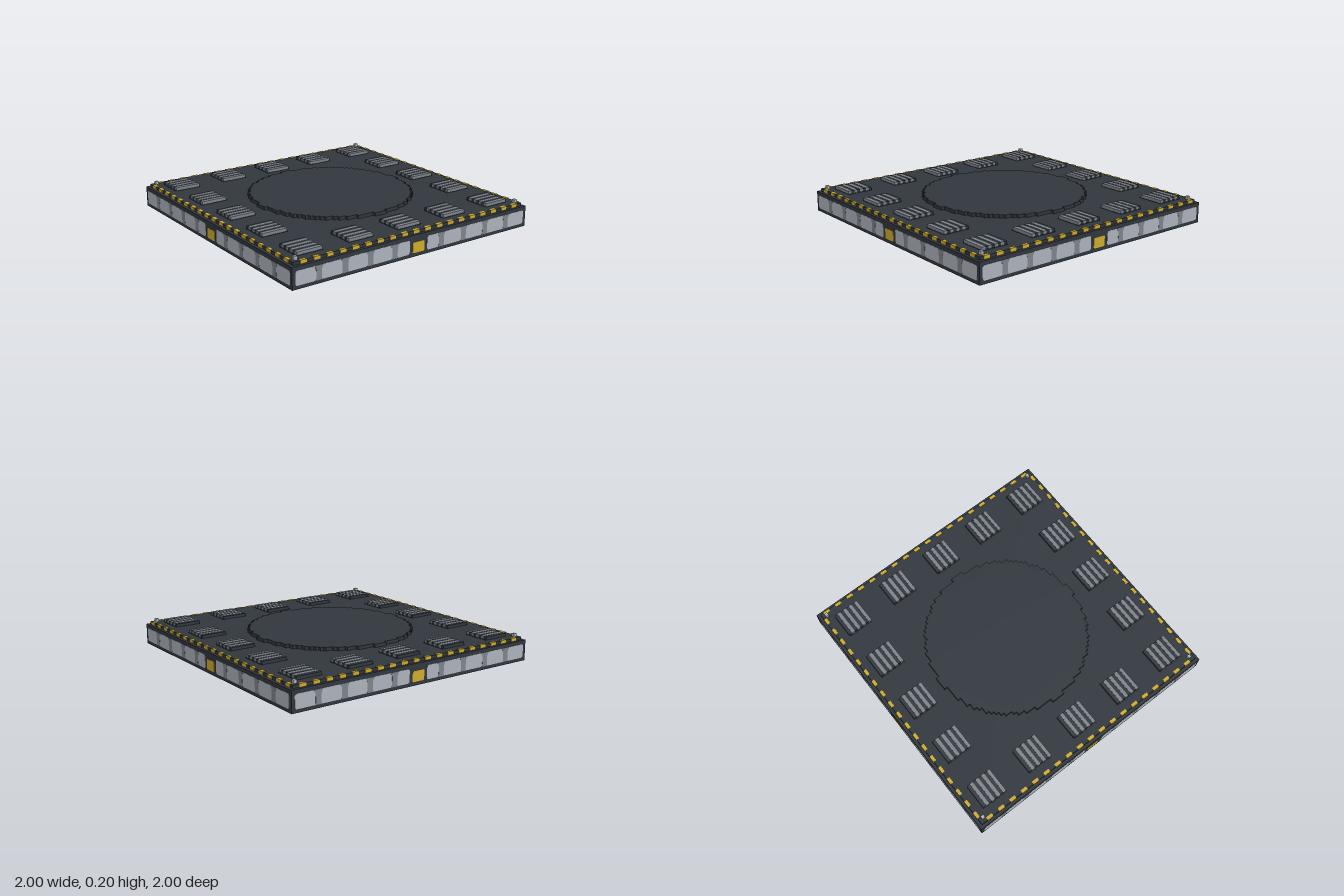
import * as THREE from 'three';

const mat = (name, color) => {
  const m = new THREE.MeshStandardMaterial({ color });
  m.name = name;
  return m;
};

export function createModel() {
  const dark = mat('dark hull', 0x32383f);
  const panelGrey = mat('light panel', 0xb0b6bf);
  const midGrey = mat('mid grey', 0x80858d);
  const yellow = mat('marking yellow', 0xd2ae2c);
  const under = mat('underside grey', 0x9e9ea2);

  const model = new THREE.Group();
  model.name = 'landingPad';

  // Box given by its extents
  const box = (parent, name, m, x0, x1, y0, y1, z0, z1) => {
    const mesh = new THREE.Mesh(new THREE.BoxGeometry(x1 - x0, y1 - y0, z1 - z0), m);
    mesh.position.set((x0 + x1) / 2, (y0 + y1) / 2, (z0 + z1) / 2);
    mesh.name = name;
    parent.add(mesh);
  };

  // Base, underside plate and raised deck
  box(model, 'base', dark, -0.998, 0.998, 0.004, 0.155, -0.998, 0.998);
  box(model, 'undersidePlate', under, -0.985, 0.985, 0, 0.006, -0.985, 0.985);
  box(model, 'deck', dark, -0.975, 0.975, 0.15, 0.176, -0.975, 0.975);

  // Thin outlined plate whose face stands at the given z
  const plate = (parent, name, m, points, z) => {
    const s = new THREE.Shape(points.map(p => new THREE.Vector2(...p)));
    const mesh = new THREE.Mesh(new THREE.ExtrudeGeometry(s, { depth: 0.004, bevelEnabled: false }), m);
    mesh.position.z = z - 0.004;
    mesh.name = name;
    parent.add(mesh);
  };
  // Rectangle with clipped corners
  const clipped = (x0, x1, y0, y1, c) => [
    [x0 + c, y0], [x1 - c, y0], [x1, y0 + c], [x1, y1 - c],
    [x1 - c, y1], [x0 + c, y1], [x0, y1 - c], [x0, y0 + c],
  ];

  // Four identical walls: light panels, flared grey dividers and a yellow hatch
  for (let k = 0; k < 4; k++) {
    const wall = new THREE.Group();
    wall.name = 'sideWall';
    wall.rotation.y = k * Math.PI / 2;
    for (const s of [-1, 1]) {
      const c = s * 0.525;
      plate(wall, 'sidePanel', panelGrey, clipped(c - 0.45, c + 0.45, 0.028, 0.127, 0.01), 0.9993);
      for (let i = 1; i < 5; i++) {
        const x = s * i * 0.2;
        plate(wall, 'panelDivider', midGrey, [
          [x - 0.028, 0.028], [x + 0.028, 0.028], [x + 0.022, 0.04], [x + 0.022, 0.1],
          [x + 0.035, 0.127], [x - 0.035, 0.127], [x - 0.022, 0.1], [x - 0.022, 0.04],
        ], 1);
      }
    }
    plate(wall, 'hatch', yellow, clipped(-0.05, 0.05, 0.03, 0.105, 0.006), 1);
    model.add(wall);
  }

  // Dashed border markings
  for (let i = 0; i < 19; i++) {
    const t = -0.9 + i * 0.1;
    const b = -0.925 + i * 1.85 / 18;
    box(model, 'borderDash', yellow, t - 0.024, t + 0.024, 0.154, 0.179, 0.954, 0.978);
    box(model, 'borderDash', yellow, b - 0.024, b + 0.024, 0.154, 0.179, -0.978, -0.954);
    for (const s of [-1, 1]) {
      box(model, 'borderDash', yellow, s * 0.966 - 0.012, s * 0.966 + 0.012, 0.154, 0.179, t - 0.024, t + 0.024);
    }
  }

  // Corner lamps
  for (const x of [-0.94, 0.94]) for (const z of [-0.94, 0.94]) {
    box(model, 'cornerLamp', panelGrey, x - 0.012, x + 0.012, 0.17, 0.2, z - 0.012, z + 0.012);
  }

  // Vents around the rim of a five by five grid
  for (let i = -2; i <= 2; i++) for (let j = -2; j <= 2; j++) {
    if (Math.max(Math.abs(i), Math.abs(j)) < 2) continue;
    const vent = new THREE.Group();
    vent.name = 'vent';
    vent.position.set(i * 0.4, 0, j * 0.4);
    box(vent, 'ventBase', dark, -0.1, 0.1, 0.17, 0.179, -0.1, 0.1);
    box(vent, 'ventCore', dark, -0.1, 0.09, 0.17, 0.198, -0.094, 0.094);
    for (let n = 0; n < 4; n++) {
      const x = -0.062 + n * 0.0493;
      box(vent, 'ventSlat', midGrey, x - 0.012, x + 0.012, 0.175, 0.2, -0.096, 0.096);
    }
    model.add(vent);
  }

  // Central disc with a stepped outline
  const step = 0.025, rows = 24, right = [];
  for (let j = -rows; j < rows; j++) {
    const y = (j + 0.5) * step;
    const w = Math.round(Math.sqrt(0.59 ** 2 - y * y) / step) * step;
    right.push(new THREE.Vector2(w, j * step), new THREE.Vector2(w, (j + 1) * step));
  }
  const left = right.map(p => new THREE.Vector2(-p.x, p.y)).reverse();
  const disc = new THREE.Mesh(
    new THREE.ExtrudeGeometry(new THREE.Shape([...right, ...left]), { depth: 0.03, bevelEnabled: false }), dark);
  disc.rotation.x = -Math.PI / 2;
  disc.position.y = 0.17;
  disc.name = 'landingDisc';
  model.add(disc);

  return model;
}
